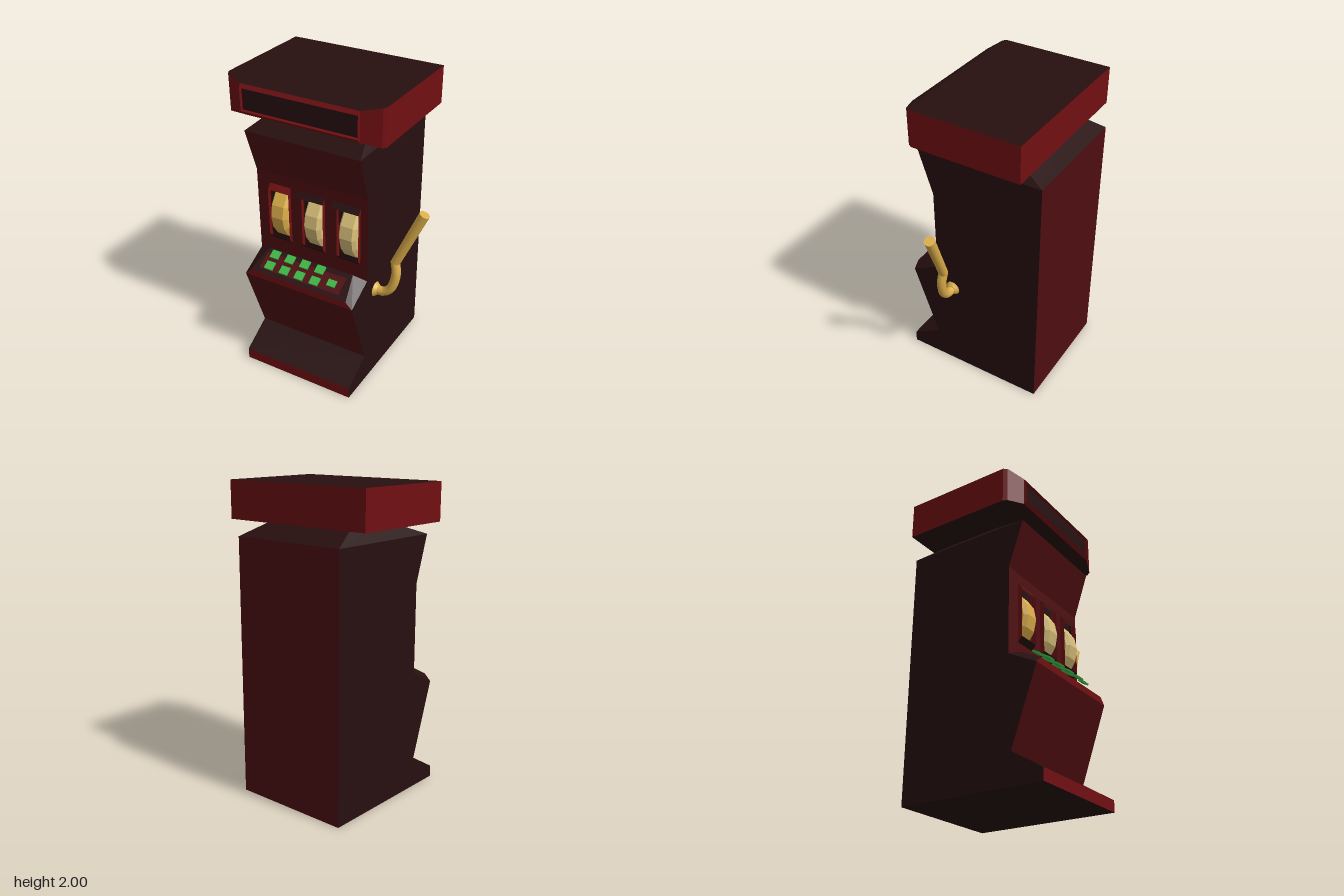
import * as THREE from 'three';

const mat = (name, color) => new THREE.MeshStandardMaterial({ name, color, side: THREE.DoubleSide });

export function createModel() {
  const root = new THREE.Group();
  root.name = 'slotMachine';
  const red = mat('brightRed', 0x700f12);
  const mid = mat('deepRed', 0x4e0e11);
  const dark = mat('darkBrown', 0x270f0f);
  const gold = mat('gold', 0xdcae4a);
  const pale = mat('paleGold', 0xd8be78);
  const green = mat('green', 0x3fb847);

  const group = (name, parent = root) => {
    const g = new THREE.Group();
    g.name = name;
    parent.add(g);
    return g;
  };
  const add = (name, geo, material, parent = root) => {
    const m = new THREE.Mesh(geo, material);
    m.name = name;
    parent.add(m);
    return m;
  };
  // Flat four-cornered panel
  const quad = (name, material, parent, a, b, c, d) => {
    const geo = new THREE.BufferGeometry();
    geo.setAttribute('position', new THREE.Float32BufferAttribute([a, b, c, a, c, d].flat(), 3));
    geo.computeVertexNormals();
    return add(name, geo, material, parent);
  };
  // Band of four panels joining two rings of four corners
  const band = (name, mats, parent, lower, upper) => {
    for (let i = 0; i < 4; i++) {
      const j = (i + 1) % 4;
      quad(name, mats[i], parent, lower[i], lower[j], upper[j], upper[i]);
    }
  };

  // Cabinet: profile in (z, y), from front foot up, over and down the back
  const L = -0.495, R = 0.3, CX = (L + R) / 2;
  const profile = [
    [0.485, 0], [0.485, 0.075], [0.28, 0.2], [0.45, 0.69], [0.26, 0.79],
    [0.26, 1.37], [0.36, 1.67], [-0.485, 1.67], [-0.485, 0],
  ];
  const cabinet = group('cabinet');
  const side = new THREE.Shape(profile.map(([z, y]) => new THREE.Vector2(-z, y)));
  for (const [name, x] of [['rightSide', L], ['leftSide', R]]) {
    const geo = new THREE.ShapeGeometry(side);
    geo.rotateY(Math.PI / 2);
    geo.translate(x, 0, 0);
    add(name, geo, dark, cabinet);
  }
  const strips = [
    ['footFront', red], ['footSlope', dark], ['lowerPanel', mid], ['consoleBed', dark],
    null, ['upperPanel', mid], null, ['back', mid], ['underside', dark],
  ];
  strips.forEach((s, i) => {
    if (!s) return;
    const [z0, y0] = profile[i], [z1, y1] = profile[(i + 1) % profile.length];
    quad(s[0], s[1], cabinet, [L, y0, z0], [R, y0, z0], [R, y1, z1], [L, y1, z1]);
  });

  // Hipped roof
  const eaves = [[L, 1.67, 0.36], [R, 1.67, 0.36], [R, 1.67, -0.485], [L, 1.67, -0.485]];
  const ridge = [[-0.41, 1.755, 0.1], [0.215, 1.755, 0.1], [0.215, 1.755, -0.28], [-0.41, 1.755, -0.28]];
  band('roofSlope', [dark, dark, dark, dark], cabinet, eaves, ridge);
  quad('roofTop', dark, cabinet, ...ridge);

  // Reel panel with three openings
  const windows = [-0.3225, -0.075, 0.175];
  const panel = new THREE.Shape([[L, 0.79], [R, 0.79], [R, 1.37], [L, 1.37]].map(p => new THREE.Vector2(...p)));
  for (const x of windows) {
    panel.holes.push(new THREE.Path(
      [[-0.07, 0.915], [-0.07, 1.28], [0.07, 1.28], [0.07, 0.915]].map(([dx, y]) => new THREE.Vector2(x + dx, y))));
  }
  const panelGeo = new THREE.ShapeGeometry(panel);
  panelGeo.translate(0, 0, 0.26);
  add('reelPanel', panelGeo, mid, cabinet);
  quad('reelRecess', dark, cabinet, [L, 0.85, 0.215], [R, 0.85, 0.215], [R, 1.33, 0.215], [L, 1.33, 0.215]);

  // Reels and their slanted window frames
  const reelProfile = [[0.06, -0.06], [0.185, -0.06], [0.21, -0.042], [0.21, 0.042], [0.185, 0.06], [0.06, 0.06]];
  const reelBase = new THREE.LatheGeometry(reelProfile.map(p => new THREE.Vector2(...p)), 16).toNonIndexed();
  reelBase.computeVertexNormals();
  reelBase.rotateZ(Math.PI / 2);
  windows.forEach((x, i) => {
    const g = group('reelWindow' + (i + 1));
    const reel = add('reel', reelBase.clone(), i ? pale : gold, g);
    reel.position.set(x, 1.085, 0.105);
    const a = x - 0.076, b = x + 0.076, topLeft = i ? a - 0.038 : a;
    quad('frameTop', i ? dark : red, g, [topLeft, 1.298, 0.262], [b, 1.298, 0.262], [b, 1.262, 0.29], [topLeft, 1.262, 0.29]);
    quad('frameBottom', dark, g, [a, 0.9, 0.262], [b, 0.9, 0.262], [b, 0.935, 0.29], [a, 0.935, 0.29]);
    for (const s of [a, b]) {
      quad('frameSide', red, g, [s, 0.9, 0.262], [s, 0.935, 0.29], [s, 1.262, 0.29], [s, 1.298, 0.262]);
    }
  });

  // Raised button console
  const consoleGroup = group('console');
  const bed = [[L, 0.69, 0.45], [R, 0.69, 0.45], [R, 0.79, 0.26], [L, 0.79, 0.26]];
  const deck = [[-0.45, 0.733, 0.45], [0.255, 0.733, 0.45], [0.215, 0.825, 0.29], [-0.41, 0.825, 0.29]];
  band('consoleEdge', [red, dark, dark, dark], consoleGroup, bed, deck);
  quad('consoleDeck', dark, consoleGroup, ...deck);
  quad('buttonTray', mid, consoleGroup, [-0.4, 0.752, 0.427], [0.19, 0.752, 0.427], [0.19, 0.812, 0.322], [-0.4, 0.812, 0.322]);

  // Buttons: two rows of four and one larger key
  const buttons = group('buttons');
  const tilt = Math.atan2(0.065, 0.11);
  const button = (x, y, z, w, d) => {
    const m = add('button', new THREE.BoxGeometry(w, 0.012, d), green, buttons);
    m.position.set(x, y, z);
    m.rotation.x = tilt;
  };
  for (let i = 0; i < 4; i++) {
    const x = -0.32 + i * 0.112;
    button(x, 0.79, 0.42, 0.06, 0.055);
    button(x, 0.834, 0.352, 0.06, 0.055);
  }
  button(0.128, 0.8, 0.4, 0.058, 0.045);

  // Top sign: block, chamfered front, rim and recessed screen
  const sign = group('topSign');
  const ring = (x0, x1, y0, y1, z) => [[x0, y0, z], [x1, y0, z], [x1, y1, z], [x0, y1, z]];
  const rings = [
    ring(-0.625, 0.43, 1.76, 2, -0.42),
    ring(-0.625, 0.43, 1.76, 2, 0.3),
    ring(-0.61, 0.415, 1.762, 1.998, 0.325),
    ring(-0.495, 0.3, 1.785, 1.975, 0.37),
    ring(-0.49, 0.295, 1.808, 1.952, 0.387),
    ring(-0.487, 0.292, 1.812, 1.948, 0.368),
  ];
  const shell = [dark, red, dark, red], rim = [red, red, red, red];
  const signMats = [shell, shell, shell, rim, rim];
  signMats.forEach((m, i) => band(i < 3 ? 'signShell' : 'signRim', m, sign, rings[i], rings[i + 1]));
  quad('signBack', red, sign, ...rings[0]);
  quad('signScreen', dark, sign, ...rings[5]);

  // Pull lever on the left side
  const lever = group('lever');
  const v = (x, y, z) => new THREE.Vector3(x, y, z);
  const elbow = new THREE.CatmullRomCurve3([
    v(0.3, 0.66, 0.145), v(0.36, 0.662, 0.144), v(0.405, 0.7, 0.141),
    v(0.43, 0.77, 0.135), v(0.435, 0.83, 0.13), v(0.422, 0.9, 0.122),
  ]);
  add('leverElbow', new THREE.TubeGeometry(elbow, 12, 0.03, 14), gold, lever);
  const flange = add('leverFlange', new THREE.CylinderGeometry(0.032, 0.05, 0.022, 16), gold, lever);
  flange.rotation.z = -Math.PI / 2;
  flange.position.set(0.311, 0.66, 0.145);
  const start = v(0.422, 0.89, 0.123), end = v(0.587, 1.27, 0.09);
  const dir = end.clone().sub(start);
  const handle = add('leverHandle', new THREE.CylinderGeometry(0.034, 0.03, dir.length(), 16), gold, lever);
  handle.position.copy(start).add(end).multiplyScalar(0.5);
  handle.quaternion.setFromUnitVectors(v(0, 1, 0), dir.normalize());

  return root;
}
